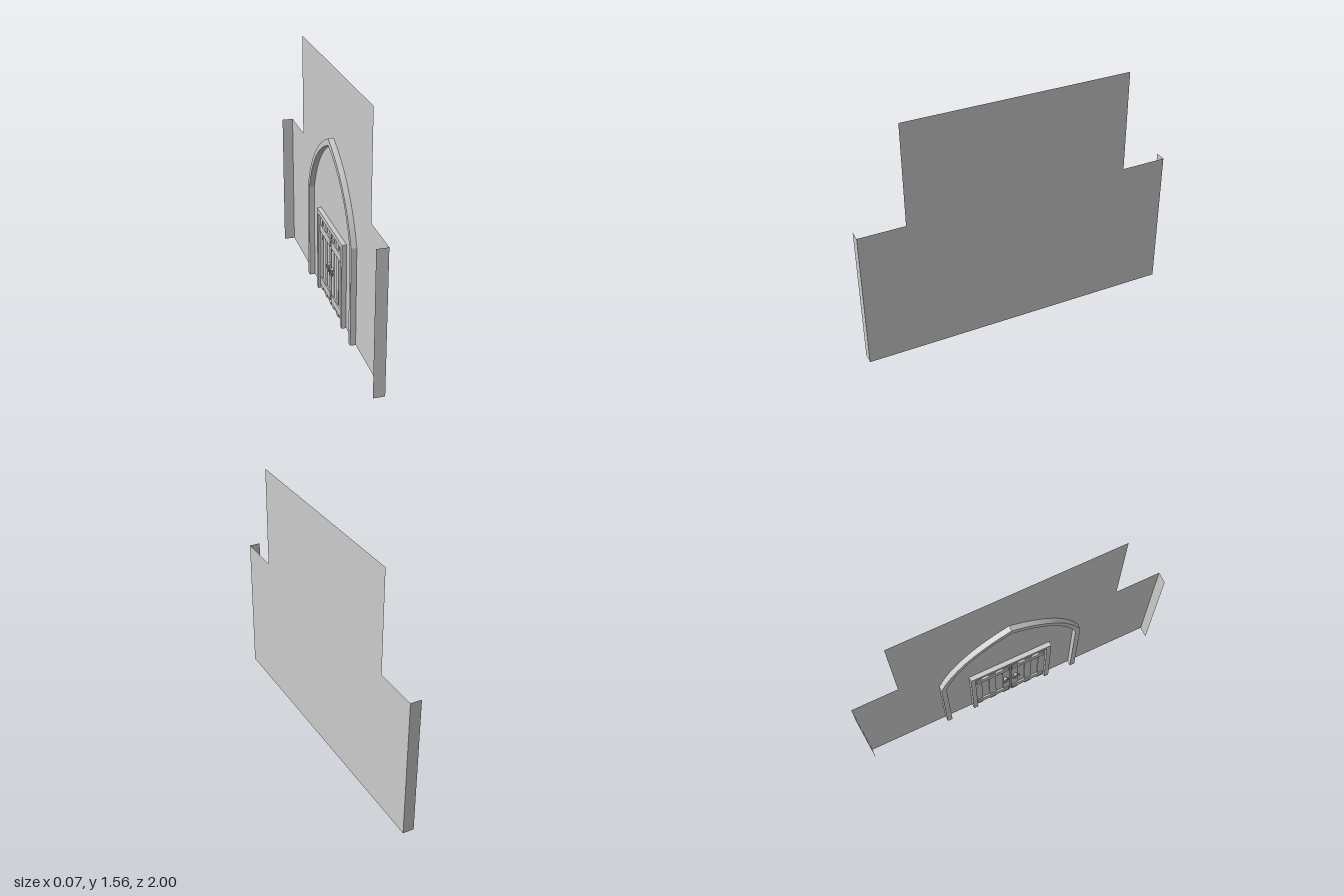
import * as THREE from 'three';
import { toCreasedNormals } from 'three/addons/utils/BufferGeometryUtils.js';

const grey = new THREE.MeshStandardMaterial({ color: 0xcccccc });
const sheet = new THREE.MeshStandardMaterial({ color: 0xcccccc, side: THREE.DoubleSide });

function add(parent, name, geometry, x = 0, y = 0, z = 0, material = grey) {
  const mesh = new THREE.Mesh(geometry, material);
  mesh.name = name;
  mesh.position.set(x, y, z);
  parent.add(mesh);
  return mesh;
}

// Block given by its ranges in width, height and depth
function block(parent, name, x0, x1, y0, y1, z0, z1) {
  return add(parent, name, new THREE.BoxGeometry(x1 - x0, y1 - y0, z1 - z0),
    (x0 + x1) / 2, (y0 + y1) / 2, (z0 + z1) / 2);
}

function polygon(points) {
  return new THREE.Shape(points.map(([x, y]) => new THREE.Vector2(x, y)));
}

// Right half of a pointed arch: straight jamb, then a shallow curve to the apex
function archHalf(halfWidth, spring, apex) {
  const curve = new THREE.QuadraticBezierCurve(
    new THREE.Vector2(halfWidth, spring),
    new THREE.Vector2(halfWidth * 0.64, spring + (apex - spring) * 0.52),
    new THREE.Vector2(0, apex));
  // Push the control point outward so the curve bulges away from its chord
  curve.v1.x += 0.05;
  curve.v1.y += 0.09;
  return [[halfWidth, 0], ...curve.getPoints(8).map(p => [p.x, p.y])];
}

const mirrorPath = half => [...half, ...half.slice(0, -1).reverse().map(([x, y]) => [-x, y])];

export function createModel() {
  const model = new THREE.Group();
  model.name = 'doorwayWall';

  // Built facing +z with the wall at z = 0, then turned to face -x
  const facade = new THREE.Group();
  facade.name = 'facade';
  facade.rotation.y = -Math.PI / 2;
  facade.position.x = 0.035;
  model.add(facade);

  // Stepped wall sheet
  const wall = polygon([[-1, 0], [1, 0], [1, 0.905], [0.71, 0.905],
    [0.71, 1.56], [-0.71, 1.56], [-0.71, 0.905], [-1, 0.905]]);
  add(facade, 'wall', new THREE.ShapeGeometry(wall), 0, 0, 0, sheet);

  // Thin returns at both ends
  for (const side of [-1, 1]) {
    const flange = add(facade, 'endReturn', new THREE.PlaneGeometry(0.07, 0.905),
      side, 0.4525, 0.035, sheet);
    flange.rotation.y = side * Math.PI / 2;
  }

  // Pointed arch moulding
  const outer = mirrorPath(archHalf(0.47, 0.64, 1.13));
  const inner = mirrorPath(archHalf(0.437, 0.635, 1.087));
  const arch = new THREE.ExtrudeGeometry(polygon([...outer, ...inner.reverse()]),
    { depth: 0.034, bevelEnabled: false });
  add(facade, 'archMoulding', toCreasedNormals(arch, 0.3), 0, 0, 0.001);

  // Door frame
  const frame = polygon([[0.275, 0], [0.275, 0.565], [-0.275, 0.565], [-0.275, 0],
    [-0.245, 0], [-0.245, 0.535], [0.245, 0.535], [0.245, 0]]);
  add(facade, 'doorFrame', new THREE.ExtrudeGeometry(frame,
    { depth: 0.029, bevelEnabled: false }), 0, 0, 0.001);

  // Two mirrored door leaves
  for (const side of [-1, 1]) {
    const leaf = new THREE.Group();
    leaf.name = side > 0 ? 'leftDoor' : 'rightDoor';
    facade.add(leaf);
    const span = (name, a, b, ...rest) =>
      block(leaf, name, Math.min(side * a, side * b), Math.max(side * a, side * b), ...rest);

    // Vertical planks, alternating in depth
    for (let i = 0; i < 5; i++) {
      const a = 0.006 + i * 0.048;
      span('plank', a, a + 0.047, 0.004, 0.53, 0.001, i % 2 ? 0.008 : 0.013);
    }
    // Cross battens
    for (const y of [0.065, 0.44]) {
      span('batten', 0.012, 0.235, y - 0.025, y + 0.025, 0.002, 0.019);
    }
    // Ring handle on a round boss
    const boss = add(leaf, 'handleBoss', new THREE.CylinderGeometry(0.011, 0.013, 0.016, 12),
      side * 0.036, 0.28, 0.02);
    boss.rotation.x = Math.PI / 2;
    add(leaf, 'handleRing', new THREE.TorusGeometry(0.023, 0.005, 8, 20),
      side * 0.036, 0.258, 0.026);
  }

  // Backing behind the gap between the leaves
  block(facade, 'doorBacking', -0.245, 0.245, 0.002, 0.535, 0.001, 0.005);

  return model;
}
